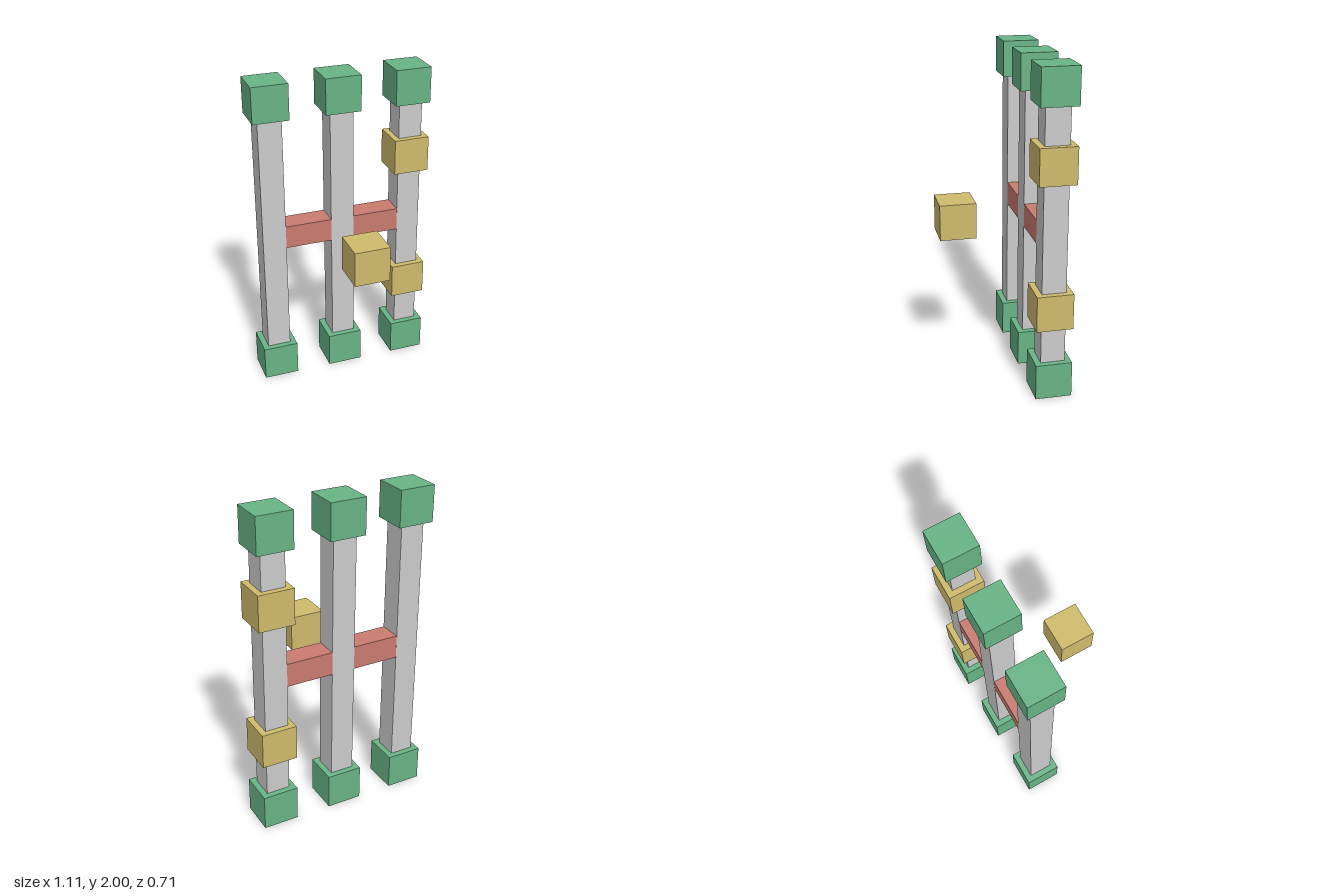
import * as THREE from 'three';

const CUBE = 0.222;    // end caps and collars
const POST = 0.148;    // post thickness
const SPACING = 0.444; // distance between posts
const BACK = -0.244;   // depth of the rack plane

export function createModel() {
  const model = new THREE.Group();
  const grey = new THREE.MeshStandardMaterial({ color: 0xcccccc });
  const green = new THREE.MeshStandardMaterial({ color: 0x68b486 });
  const yellow = new THREE.MeshStandardMaterial({ color: 0xcfbb6c });
  const red = new THREE.MeshStandardMaterial({ color: 0xc97b6f });

  function box(name, material, size, position) {
    const mesh = new THREE.Mesh(new THREE.BoxGeometry(...size), material);
    mesh.name = name;
    mesh.position.set(...position);
    model.add(mesh);
  }
  const cube = (name, material, x, y, z) =>
    box(name, material, [CUBE, CUBE, CUBE], [x, y, z]);

  // Three posts, each capped at both ends
  ['right', 'middle', 'left'].forEach((side, i) => {
    const x = (i - 1) * SPACING;
    box(`${side}Post`, grey, [POST, 2 - 2 * CUBE, POST], [x, 1, BACK]);
    cube(`${side}BottomCap`, green, x, CUBE / 2, BACK);
    cube(`${side}TopCap`, green, x, 2 - CUBE / 2, BACK);
  });

  // Crossbar through the posts, a hair slimmer so the post faces stay clean
  box('crossbar', red, [2 * SPACING + POST - 0.002, POST - 0.002, POST - 0.002], [0, 1, BACK]);

  // Collars on the left post and the free block in front
  cube('lowerCollar', yellow, SPACING, 1 - SPACING, BACK);
  cube('upperCollar', yellow, SPACING, 1 + SPACING, BACK);
  cube('frontBlock', yellow, 0, 1, -BACK);

  return model;
}
